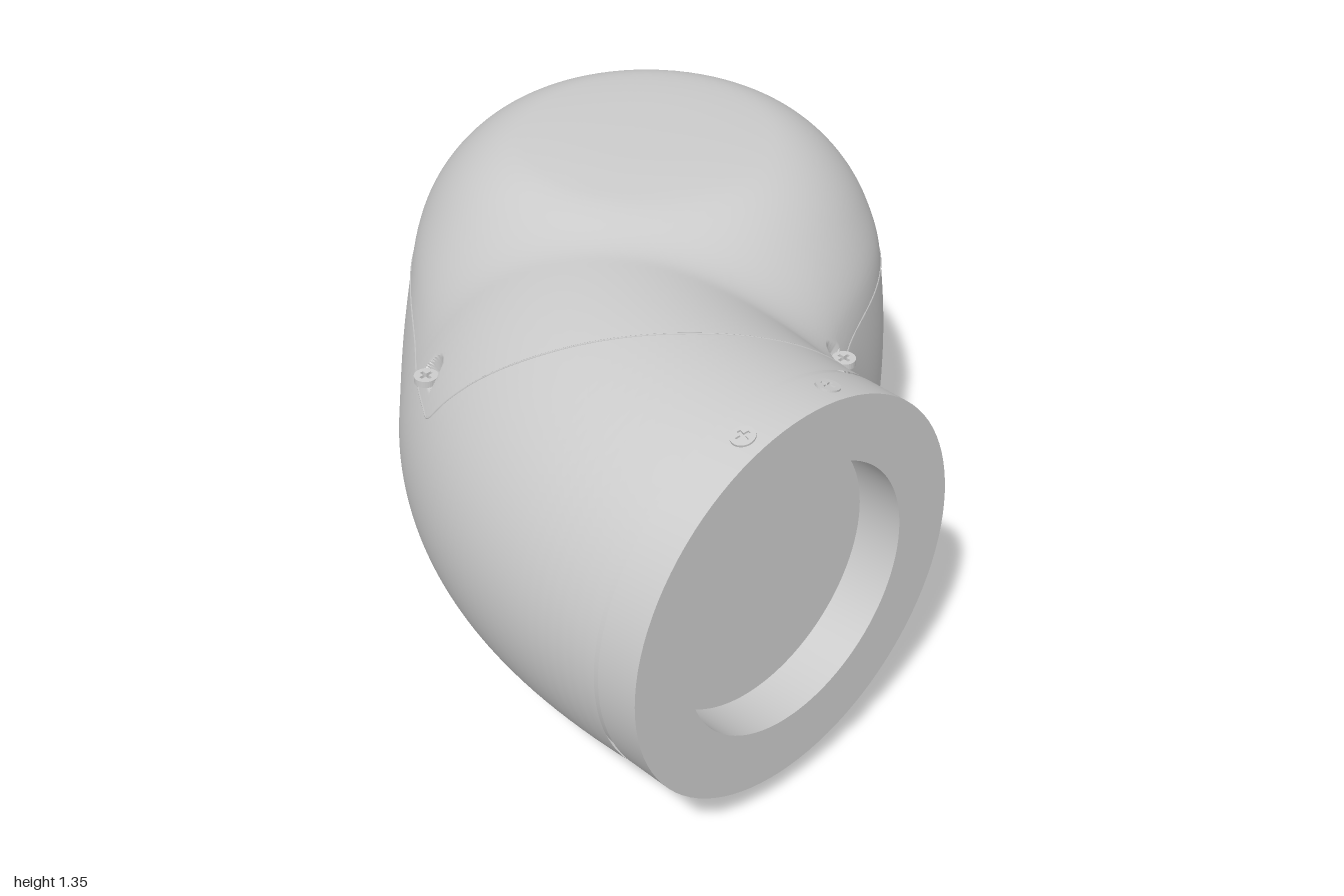
import * as THREE from 'three';
import { toCreasedNormals } from 'three/addons/utils/BufferGeometryUtils.js';

const V = (x, y, z) => new THREE.Vector3(x, y, z);
const smooth = THREE.MathUtils.smoothstep;
const AXIS = { x: 0.27, z: -0.27 };           // vertical column
const PORT = { x: -0.405, y: 0.71, z: 0.84 }; // horizontal opening
const POCKETS = [[0.1, -0.9], [-0.69, -0.16], [0.91, -0.09], [0.2, 0.59]];
const POCKET_Y = 0.975;

// Bent centre line of the side tube, with a radius at each point
const bend = new THREE.QuadraticBezierCurve3(
  V(PORT.x, PORT.y, PORT.z), V(PORT.x, 0.66, -0.04), V(AXIS.x, 0.65, AXIS.z));
const spine = [{ p: V(PORT.x, PORT.y, 1.4), r: 0.595 }];
for (let i = 0; i <= 48; i++) {
  const t = i / 48;
  spine.push({ p: bend.getPoint(t), r: 0.595 + 0.06 * t - 0.15 * t ** 4 });
}

function tubeDistance(x, y, z) {
  let best = 9;
  for (let i = 1; i < spine.length; i++) {
    const a = spine[i - 1], b = spine[i];
    const dx = b.p.x - a.p.x, dy = b.p.y - a.p.y, dz = b.p.z - a.p.z;
    const ex = x - a.p.x, ey = y - a.p.y, ez = z - a.p.z;
    const t = Math.min(1, Math.max(0, (ex * dx + ey * dy + ez * dz) / (dx * dx + dy * dy + dz * dz)));
    const fx = ex - t * dx, fy = ey - t * dy, fz = ez - t * dz;
    const d = Math.sqrt(fx * fx + fy * fy + fz * fz) - a.r - t * (b.r - a.r);
    if (d < best) best = d;
  }
  return best;
}

// Slightly tapered column with a rounded, domed top
function columnDistance(x, y, z) {
  const r = Math.hypot(x - AXIS.x, z - AXIS.z), e = 0.28;
  const qx = r - (0.72 - 0.025 * Math.max(0, y / 0.95) ** 3 - e);
  const qy = y - (1.35 - 0.11 * Math.min(2, (r / 0.7) ** 3) - e);
  return Math.min(Math.max(qx, qy), 0) + Math.hypot(Math.max(qx, 0), Math.max(qy, 0)) - e;
}

// Column and tube blended: softest in the inner corner, tighter on top, sharp at the base rim
function body(x, y, z) {
  const side = (x - AXIS.x) * 0.853 + (z - AXIS.z) * 0.521;
  const low = 1 - Math.min(1, Math.max(0, y / 0.06));
  const soft = 0.2 + 0.17 * smooth(side, -0.2, 0.4) * smooth(z, -0.1, 0.3);
  const k = Math.max(1e-4, soft * (1 - low * low) * (1 - 0.5 * smooth(y, 1, 1.3)));
  const a = columnDistance(x, y, z), b = tubeDistance(x, y, z);
  const h = Math.max(k - Math.abs(a - b), 0) / k;
  return Math.min(a, b) - h * h * k / 4;
}

// Body with the vertical screw pockets cut out
function cutBody(x, y, z) {
  let d = body(x, y, z);
  if (y > POCKET_Y - 0.05) for (const [px, pz] of POCKETS)
    d = Math.max(d, -Math.max(Math.hypot(x - px, z - pz) - 0.05, POCKET_Y - y));
  return d;
}

// First point where a ray leaves the solid
function hit(field, o, d) {
  const f = s => field(o.x + d.x * s, o.y + d.y * s, o.z + d.z * s);
  let hi = 0.05;
  while (hi < 2 && f(hi) < 0) hi += 0.04;
  let lo = hi - 0.05;
  for (let i = 0; i < 14; i++) {
    const m = (lo + hi) / 2;
    if (f(m) < 0) lo = m; else hi = m;
  }
  return o.clone().addScaledVector(d, hi);
}

// n + 1 values from 0 to span, packed closer around the given centres
function gradedSteps(n, span, centres, width) {
  const sums = [0], fine = 2000;
  for (let i = 0; i < fine; i++) {
    const v = (i + 0.5) / fine * span;
    sums.push(sums[i] + centres.reduce((w, c) => w + 2.5 * Math.exp(-(((v - c) / width) ** 2) / 2), 1));
  }
  const steps = [];
  for (let i = 0, k = 0; i < n; i++) {
    const goal = sums[fine] * i / n;
    while (sums[k + 1] < goal) k++;
    steps.push((k + (goal - sums[k]) / (sums[k + 1] - sums[k])) / fine * span);
  }
  return [...steps, span];
}

// Centre of the cross-section at fan angle th
function sectionCentre(th) {
  const u = th / (Math.PI / 2), rho = 0.71 + 0.395 * u;
  return V(PORT.x + (AXIS.x - PORT.x) * u, rho * Math.cos(th), PORT.z - rho * Math.sin(th));
}

// Skin: cross-sections fan from the port plane round to the base plane
function housingGeometry() {
  const rows = 200, cols = 300, pos = [], index = [], py = 1.06;
  const fanAt = POCKETS.map(([, z]) => Math.atan2(PORT.z - z, py));
  const turnAt = POCKETS.map(([x, z], i) => {
    const o = sectionCentre(fanAt[i]);
    return Math.atan2(Math.hypot(py - o.y, z - o.z), x - o.x);
  });
  const fan = gradedSteps(rows, Math.PI / 2, fanAt, 0.07);
  const turn = gradedSteps(cols, Math.PI * 2, turnAt, 0.12);
  for (let i = 0; i <= rows; i++) {
    const c = Math.cos(fan[i]), s = Math.sin(fan[i]), o = sectionCentre(fan[i]);
    for (let j = 0; j < cols; j++) {
      const q = Math.sin(turn[j]);
      const p = hit(cutBody, o, V(Math.cos(turn[j]), q * c, -q * s));
      pos.push(p.x, p.y, p.z);
      if (i < rows) {
        const a = i * cols + j, b = i * cols + (j + 1) % cols;
        index.push(a, a + cols, b, b, a + cols, b + cols);
      }
    }
  }
  const g = new THREE.BufferGeometry();
  g.setAttribute('position', new THREE.Float32BufferAttribute(pos, 3));
  g.setIndex(index);
  return toCreasedNormals(g, 0.7);
}

// Line where the lid meets the housing
function seamGeometry() {
  const pts = [], o = V(0.05, 0.935, -0.05), start = 1.37, end = -3.12;
  for (let i = 0; i <= 70; i++) {
    const a = start + (end - start) * i / 70;
    pts.push(hit(body, o, V(Math.cos(a), 0, Math.sin(a))));
  }
  const over = new THREE.CatmullRomCurve3([V(-0.77, 0.7, -0.05), V(-0.72, 0.7, 0.06), V(-0.6, 0.7, 0.25),
    V(-0.32, 0.7, 0.54), V(-0.1, 0.7, 0.68), V(0.06, 0.7, 0.73), V(0.14, 0.7, 0.715)]);
  for (let i = 1; i <= 30; i++) pts.push(hit(body, over.getPoint(i / 30), V(0, 1, 0)));
  return new THREE.TubeGeometry(new THREE.CatmullRomCurve3(pts, true), 300, 0.003, 5, true);
}

// Round screw head with a cross recess, facing +z
function screwGeometry() {
  const s = new THREE.Shape().absarc(0, 0, 0.034, 0, Math.PI * 2);
  const w = 0.005, l = 0.02, pts = [];
  for (let q = 0; q < 4; q++) for (const [x, y] of [[l, w], [w, w], [w, l]])
    pts.push(new THREE.Vector2(x, y).rotateAround(new THREE.Vector2(), q * Math.PI / 2));
  s.holes.push(new THREE.Path(pts));
  return new THREE.ExtrudeGeometry(s, { depth: 0.02, bevelEnabled: false, curveSegments: 16 });
}

function latheGeometry(profile) {
  return toCreasedNormals(new THREE.LatheGeometry(profile.map(([x, y]) => new THREE.Vector2(x, y)), 96), 0.6);
}

export function createModel() {
  const group = new THREE.Group();
  const grey = new THREE.MeshStandardMaterial({ color: 0xcccccc });
  const add = (name, geometry) => {
    const m = new THREE.Mesh(geometry, grey);
    m.name = name;
    group.add(m);
    return m;
  };

  add('housing', housingGeometry());
  add('lidSeam', seamGeometry());

  // Recessed base flange
  add('baseFlange', latheGeometry([[0, 0.16], [0.54, 0.16], [0.54, 0], [0.72, 0]]))
    .position.set(AXIS.x, 0, AXIS.z);

  // Recessed ring on the front port, behind a narrow groove
  const ring = add('portRing', latheGeometry([[0.583, 0.8], [0.583, 0.855], [0.595, 0.855],
    [0.595, 0.988], [0.405, 0.988], [0.405, 0.845], [0, 0.845]]));
  ring.rotation.x = Math.PI / 2;
  ring.position.set(PORT.x, PORT.y, 0);

  // Lid screws standing in their pockets
  const screw = screwGeometry();
  for (const [x, z] of POCKETS) {
    const m = add('lidScrew', screw);
    m.rotation.x = -Math.PI / 2;
    m.position.set(x, POCKET_Y, z);
  }

  // Ring screws, two above and two below
  for (const a of [-0.264, 0.264, Math.PI - 0.264, Math.PI + 0.264]) {
    const m = add('ringScrew', screw), d = V(Math.sin(a), Math.cos(a), 0);
    m.quaternion.setFromUnitVectors(V(0, 0, 1), d);
    m.position.set(PORT.x, PORT.y, 0.92).addScaledVector(d, 0.5805);
  }

  // Small alignment mark near the base
  const tri = new THREE.Shape([[-0.016, 0.025], [0, -0.027], [0.016, 0.025]].map(p => new THREE.Vector2(...p)));
  const mark = add('alignmentMark', new THREE.ExtrudeGeometry(tri, { depth: 0.012, bevelEnabled: false }));
  mark.rotation.y = Math.PI / 2;
  mark.position.set(0.98, 0.05, -0.26);
  return group;
}
